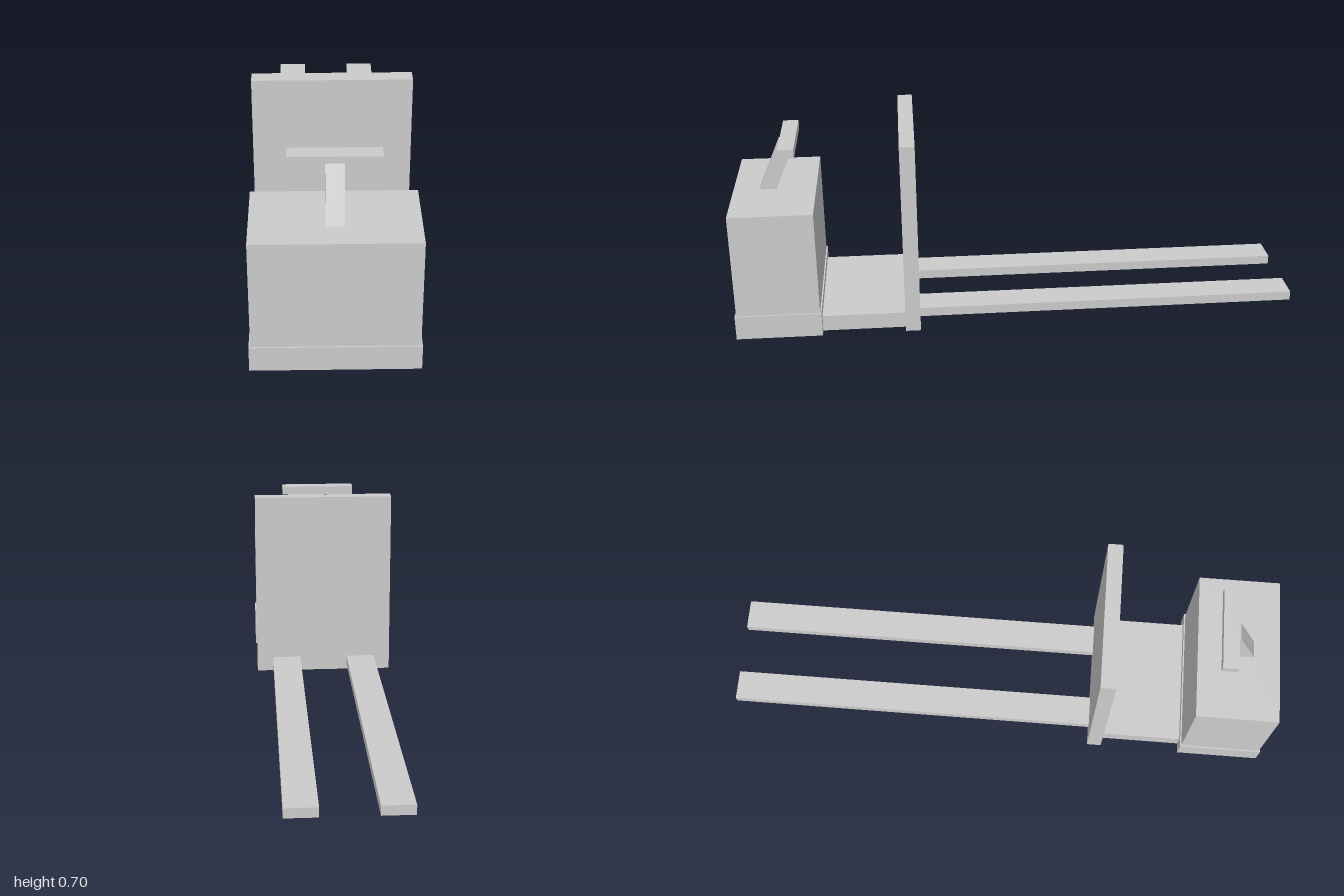
import * as THREE from 'three';

const material = new THREE.MeshStandardMaterial({ color: 0xcccccc, flatShading: true });

// Box given by its [min, max] range along each axis
function block(name, [x0, x1], [y0, y1], [z0, z1]) {
  const mesh = new THREE.Mesh(new THREE.BoxGeometry(x1 - x0, y1 - y0, z1 - z0), material);
  mesh.position.set((x0 + x1) / 2, (y0 + y1) / 2, (z0 + z1) / 2);
  mesh.name = name;
  return mesh;
}

export function createModel() {
  const model = new THREE.Group();
  model.name = 'palletTruck';

  // Drive unit: bumper skirt with the slightly smaller housing on top
  model.add(block('bumperSkirt', [-0.267, 0.267], [0, 0.088], [0.7, 1]));
  model.add(block('motorHousing', [-0.262, 0.262], [0.088, 0.466], [0.705, 0.995]));

  // Standing platform and upright load backrest
  model.add(block('platform', [-0.232, 0.232], [0, 0.058], [0.408, 0.7]));
  model.add(block('backrest', [-0.262, 0.262], [0, 0.7], [0.355, 0.408]));

  // Pair of forks reaching to the back
  for (const [name, side] of [['leftFork', 1], ['rightFork', -1]]) {
    const fork = block(name, [-0.054, 0.054], [0.022, 0.055], [-1, 0.355]);
    fork.position.x = side * 0.146;
    model.add(fork);
  }

  // Steering column leaning back, its foot sunk into the housing
  const column = new THREE.Group();
  column.name = 'steeringColumn';
  column.add(block('columnPost', [-0.029, 0.029], [-0.22, 0], [-0.027, 0.027]));
  column.position.set(0, 0.629, 0.803);
  column.rotation.x = -0.41;
  model.add(column);

  // Crossbar handle
  model.add(block('handlebar', [-0.145, 0.145], [0.625, 0.658], [0.765, 0.82]));

  return model;
}
